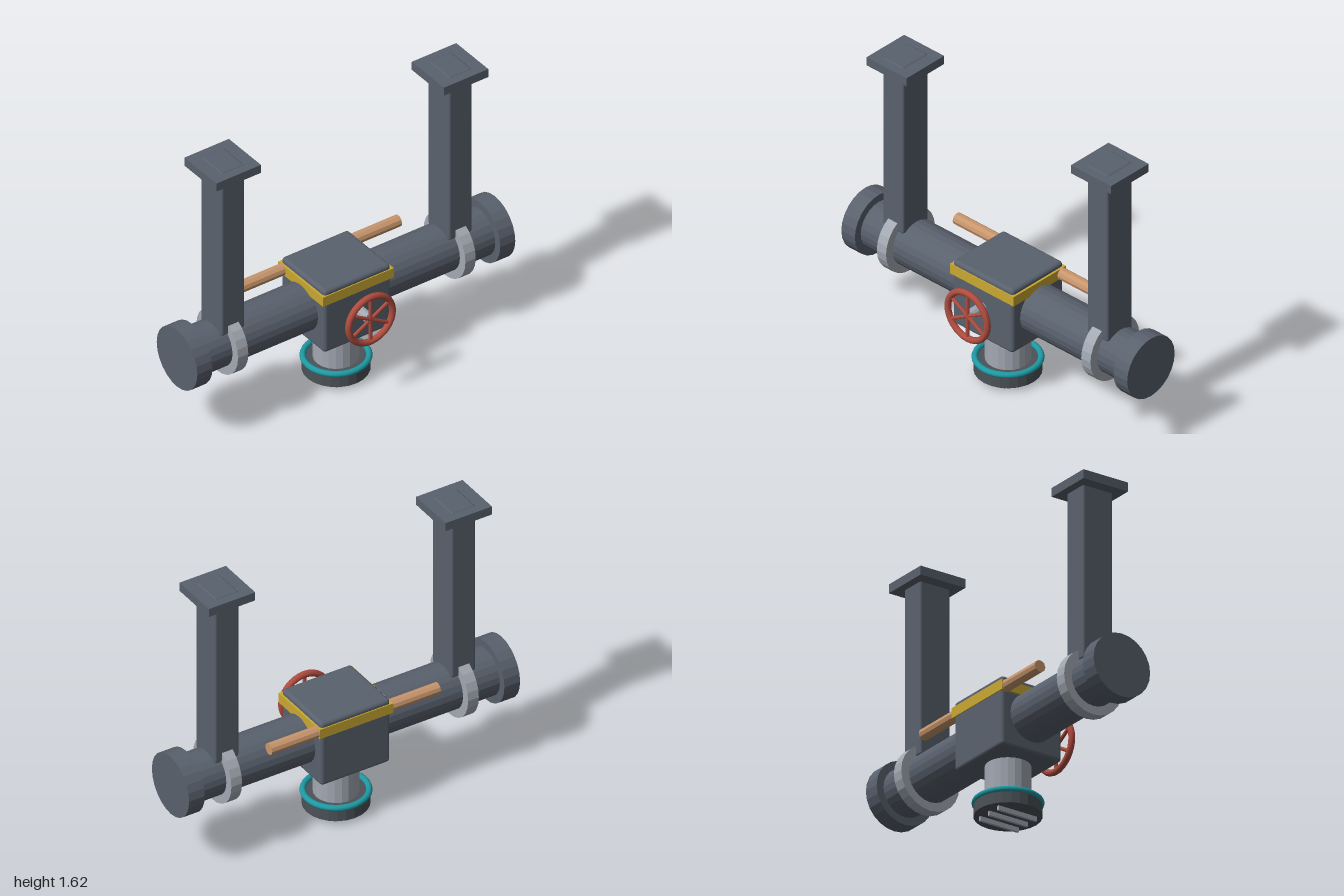
import * as THREE from 'three';
import { RoundedBoxGeometry } from 'three/addons/geometries/RoundedBoxGeometry.js';

const mat = (name, color) => {
  const m = new THREE.MeshStandardMaterial({ color });
  m.name = name;
  return m;
};

export function createModel() {
  const steel = mat('dark steel', 0x59616d);
  const iron = mat('cap iron', 0x4c5258);
  const metal = mat('light metal', 0xa3a9b3);
  const yellow = mat('yellow band', 0xc9a832);
  const teal = mat('teal seal', 0x1f9aa3);
  const red = mat('red wheel', 0xb04c3f);
  const copper = mat('copper rod', 0xc8966c);

  const model = new THREE.Group();
  model.name = 'pipeAssembly';
  const Y = 0.5, Z = -0.063; // pipe axis

  const add = (name, geometry, material, x, y, z, parent = model) => {
    const mesh = new THREE.Mesh(geometry, material);
    mesh.name = name;
    mesh.position.set(x, y, z);
    parent.add(mesh);
    return mesh;
  };
  // faceted cylinder along a chosen axis
  const rod = (r, length, sides, axis = 'y') => {
    const g = new THREE.CylinderGeometry(r, r, length, sides).toNonIndexed();
    if (axis === 'x') g.rotateZ(Math.PI / 2);
    if (axis === 'z') g.rotateX(Math.PI / 2);
    g.computeVertexNormals();
    return g;
  };

  // main pipe
  add('pipe', rod(0.134, 1.9, 24, 'x'), steel, 0, Y, Z);

  // end caps, hangers and clamps on both sides
  for (const s of [-1, 1]) {
    add('endCap', rod(0.177, 0.095, 24, 'x'), steel, s * 0.9525, Y, Z);
    add('hangerColumn', new RoundedBoxGeometry(0.145, 1.025, 0.187, 2, 0.012), steel, s * 0.715, 1.1125, -0.06);
    add('hangerPlate', new THREE.BoxGeometry(0.28, 0.05, 0.28), steel, s * 0.715, 1.595, -0.06);
    add('clamp', rod(0.182, 0.065, 24, 'x'), metal, s * 0.715, Y, Z);
  }

  // valve body with its band
  add('valveBody', new RoundedBoxGeometry(0.42, 0.39, 0.38, 3, 0.02), steel, 0, Y, Z);
  add('bodyBand', new THREE.BoxGeometry(0.445, 0.058, 0.392), yellow, 0, 0.638, Z);

  // rod passing behind the body
  add('copperRod', rod(0.033, 1.02, 10, 'x'), copper, 0, 0.636, -0.226);

  // handwheel on its stem
  add('stem', rod(0.029, 0.13, 12, 'z'), metal, 0, Y, 0.165);
  const wheel = new THREE.Group();
  wheel.name = 'handwheel';
  wheel.position.set(0, Y, 0.238);
  model.add(wheel);
  add('wheelRim', new THREE.TorusGeometry(0.138, 0.018, 10, 32), red, 0, 0, 0, wheel);
  for (let i = 0; i < 3; i++) {
    add('wheelSpokes', rod(0.01, 0.27, 8), red, 0, 0, 0, wheel).rotation.z = i * Math.PI / 3;
  }

  // outlet below the body
  add('outletNeck', rod(0.12, 0.25, 20), metal, 0, 0.215, Z);
  const seal = new THREE.TorusGeometry(0.17, 0.017, 10, 32);
  seal.rotateX(Math.PI / 2);
  add('outletSeal', seal, teal, 0, 0.102, Z);
  add('outletCap', rod(0.177, 0.073, 24), iron, 0, 0.0615, Z);
  for (const x of [-0.08, 0, 0.08]) {
    add('outletBar', new THREE.BoxGeometry(0.014, 0.03, 0.24), metal, x, 0.015, Z);
  }
  return model;
}
